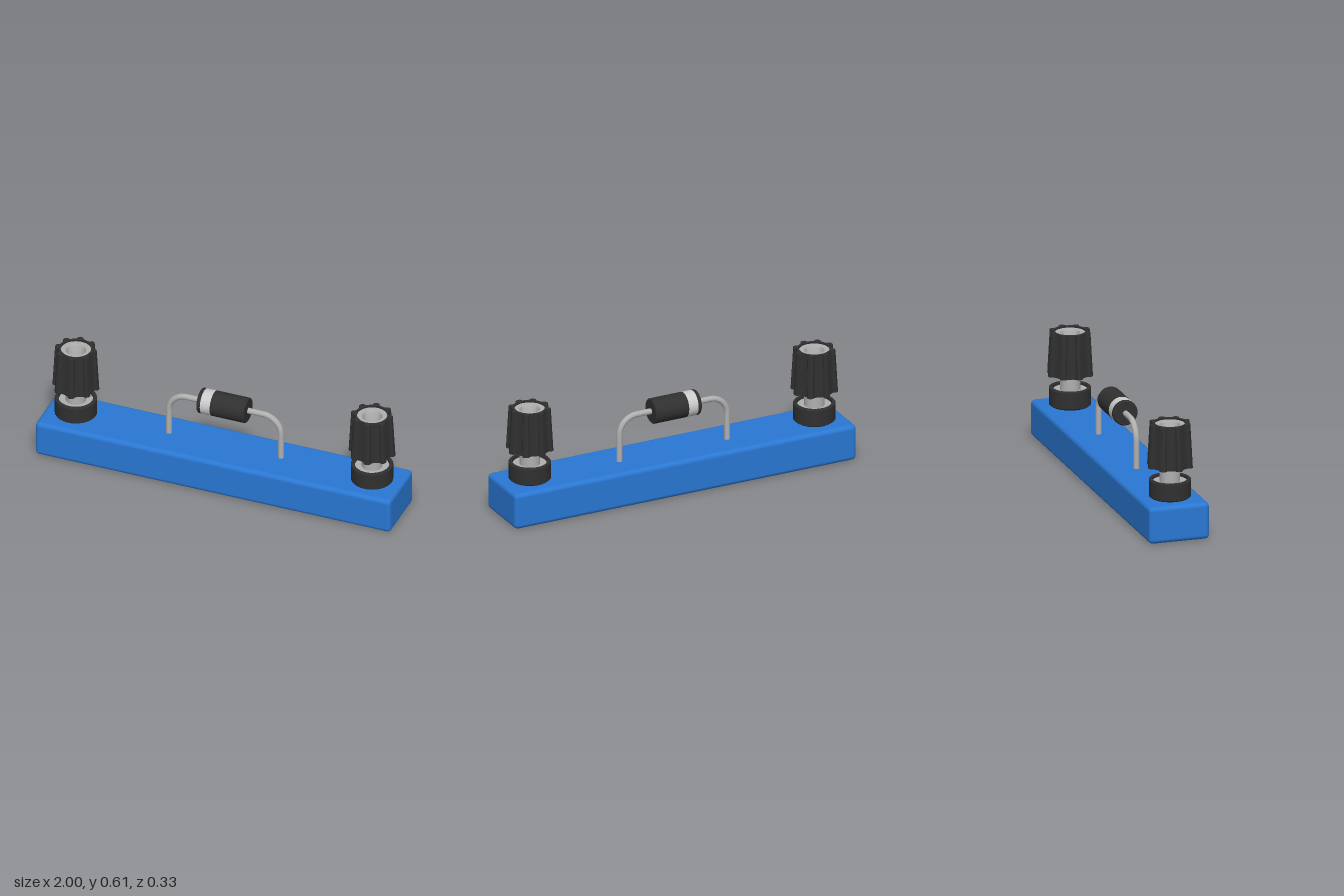
import * as THREE from 'three';
import { toCreasedNormals } from 'three/addons/utils/BufferGeometryUtils.js';
import { RoundedBoxGeometry } from 'three/addons/geometries/RoundedBoxGeometry.js';

const paint = (color) => new THREE.MeshStandardMaterial({ color, side: THREE.DoubleSide });
const blue = paint(0x2a78d4);
const black = paint(0x303030);
const metal = paint(0xb0b0b0);
const white = paint(0xcccccc);

function part(name, geometry, material) {
  const mesh = new THREE.Mesh(geometry, material);
  mesh.name = name;
  return mesh;
}

// Turned part from [radius, height] pairs, with sharp edges kept
function turned(points, sides = 32) {
  const profile = points.map(([r, y]) => new THREE.Vector2(r, y));
  return toCreasedNormals(new THREE.LatheGeometry(profile, sides), 0.6);
}

// Eight-ribbed grip, tapered towards the top, with a round bore
function knobGeometry() {
  const bottom = 0.37, top = 0.607, ribs = 8, turn = 0.14;
  // Outline of one rib: [angle, radius]
  const rib = [[-0.3, 0.104], [-0.18, 0.108], [-0.13, 0.122], [0, 0.126], [0.13, 0.122], [0.18, 0.108], [0.3, 0.104]];
  const outline = [];
  for (let i = 0; i < ribs; i++) {
    for (const [a, r] of rib) {
      const angle = turn + a + (i * Math.PI * 2) / ribs;
      outline.push(new THREE.Vector2(r * Math.cos(angle), r * Math.sin(angle)));
    }
  }
  const shape = new THREE.Shape(outline);
  shape.holes.push(new THREE.Path().absarc(0, 0, 0.09, 0, Math.PI * 2, true));
  const g = new THREE.ExtrudeGeometry(shape, { depth: top - bottom, bevelEnabled: false, curveSegments: 16 });
  g.rotateX(-Math.PI / 2);
  const p = g.attributes.position;
  for (let i = 0; i < p.count; i++) {
    const s = 1 - 0.11 * (p.getY(i) / (top - bottom));
    p.setXYZ(i, p.getX(i) * s, p.getY(i) + bottom, p.getZ(i) * s);
  }
  return toCreasedNormals(g, 0.5);
}

function bindingPost(name, x) {
  const post = new THREE.Group();
  post.name = name;
  post.position.x = x;
  post.add(
    // Collar with a shallow recess in its top
    part('collar', turned([[0, 0.2], [0.1, 0.2], [0.111, 0.208], [0.111, 0.297], [0.108, 0.301], [0.092, 0.301], [0.09, 0.285]]), black),
    part('collarInsert', turned([[0.091, 0.287], [0.054, 0.287]]), metal),
    part('stem', new THREE.CylinderGeometry(0.054, 0.054, 0.2, 32, 1, true).translate(0, 0.3, 0), metal),
    part('knob', knobGeometry(), black),
    part('knobUnderside', turned([[0.054, 0.362], [0.092, 0.37]]), black),
    // Metal socket seen in the top of the knob
    part('socket', turned([[0.083, 0.598], [0.054, 0.598], [0.05, 0.59], [0.036, 0.5], [0, 0.485]]), metal)
  );
  return post;
}

export function createModel() {
  const model = new THREE.Group();
  model.name = 'componentBlock';

  const base = part('base', new RoundedBoxGeometry(2, 0.2, 0.333, 2, 0.024), blue);
  base.position.y = 0.1;
  model.add(base);

  model.add(bindingPost('rightPost', -0.833), bindingPost('leftPost', 0.833));

  // Component carried on a bent wire
  const component = new THREE.Group();
  component.name = 'component';
  component.position.z = -0.014;
  const legX = 0.315, wireY = 0.447, bend = 0.1;
  const v = (x, y) => new THREE.Vector3(x, y, 0);
  for (const [name, s] of [['rightLead', -1], ['leftLead', 1]]) {
    const path = new THREE.CurvePath();
    const k = bend * 0.448;
    path.add(new THREE.LineCurve3(v(s * legX, 0.18), v(s * legX, wireY - bend)));
    path.add(new THREE.CubicBezierCurve3(
      v(s * legX, wireY - bend), v(s * legX, wireY - k), v(s * (legX - k), wireY), v(s * (legX - bend), wireY)));
    path.add(new THREE.LineCurve3(v(s * (legX - bend), wireY), v(s * 0.1, wireY)));
    component.add(part(name, new THREE.TubeGeometry(path, 40, 0.016, 12), metal));
  }

  // Body sections along x: dark end, pale band, dark main part
  const r = 0.068, e = 0.005;
  const sections = [
    ['bodyEnd', [[0, -0.136], [r - e, -0.136], [r, -0.136 + e], [r, -0.115]], black],
    ['band', [[r, -0.115], [r, -0.06]], white],
    ['body', [[r, -0.06], [r, 0.131 - e], [r - e, 0.131], [0, 0.131]], black],
  ];
  for (const [name, profile, material] of sections) {
    const mesh = part(name, turned(profile), material);
    mesh.rotation.z = -Math.PI / 2;
    mesh.position.y = wireY;
    component.add(mesh);
  }
  model.add(component);
  return model;
}
